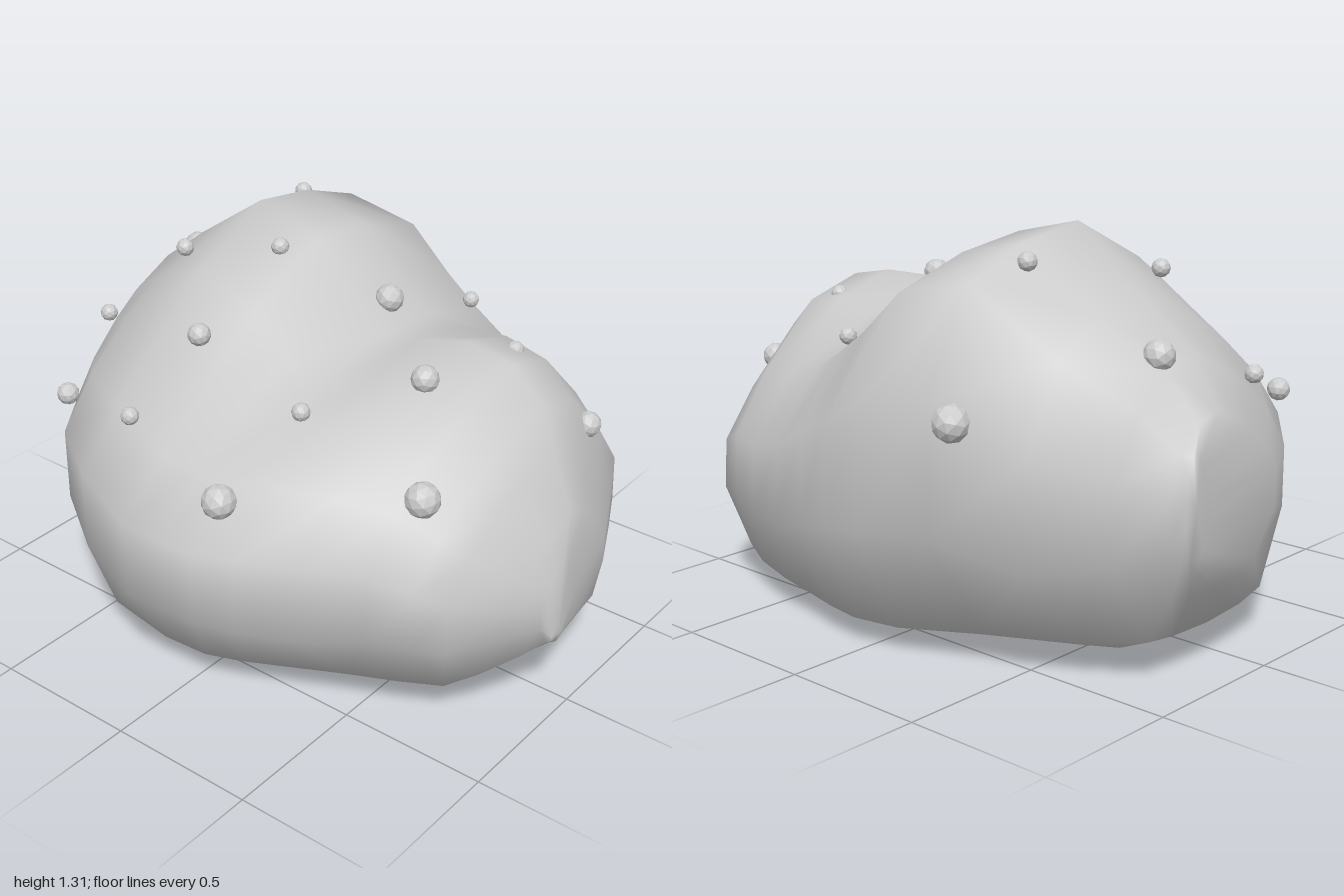
import * as THREE from 'three';

// Stations along x: [x, top, bottom, front z, back z, fullness of the front, fullness of the back]
const STATIONS = [
  [-1, 0.75, 0.42, -0.32, -0.41, 0.5, 0.5],
  [-0.95, 0.83, 0.29, 0.1, -0.44, 0.5, 0.6],
  [-0.84, 0.97, 0.12, 0.31, -0.54, 0.5, 0.8],
  [-0.66, 1.11, 0.02, 0.54, -0.71, 0.5, 0.9],
  [-0.37, 1.31, 0, 0.74, -0.81, 0.1, 1],
  [-0.11, 1.25, 0, 0.83, -0.84, 0.05, 1],
  [0.05, 1.09, 0.04, 0.84, -0.835, 0.6, 1],
  [0.17, 1.0, 0.05, 0.83, -0.82, 1, 1],
  [0.3, 1.02, 0.04, 0.79, -0.81, 1, 0.5],
  [0.48, 1.06, 0.03, 0.7, -0.75, 0.8, 0.1],
  [0.64, 1.03, 0.07, 0.6, -0.69, 0.7, 0.1],
  [0.76, 0.92, 0.11, 0.53, -0.64, 0.7, 0],
  [0.84, 0.84, 0.14, 0.47, -0.48, 0.7, 0],
  [0.93, 0.66, 0.22, 0.28, -0.29, 0.6, 0],
  [0.98, 0.55, 0.27, 0.17, -0.03, 0.6, 0],
  [1, 0.34, 0.29, 0.13, 0.07, 0.6, 0],
];

// Lower corners at each station: [front z, front y, back z, back y]
const FEET = [
  [-0.33, 0.45, -0.4, 0.45], [0, 0.33, -0.4, 0.32], [0.2, 0.16, -0.36, 0.14],
  [0.43, 0.12, -0.45, 0.11], [0.63, 0.12, -0.57, 0.1], [0.67, 0.12, -0.68, 0.085],
  [0.66, 0.12, -0.71, 0.085], [0.62, 0.125, -0.7, 0.09], [0.56, 0.13, -0.67, 0.09],
  [0.48, 0.14, -0.63, 0.09], [0.41, 0.145, -0.59, 0.1], [0.35, 0.15, -0.54, 0.12],
  [0.28, 0.19, -0.4, 0.17], [0.19, 0.25, -0.24, 0.24], [0.13, 0.29, -0.01, 0.29],
  [0.12, 0.3, 0.08, 0.3],
];

// Sides and top of a section, back > top > front: [u, v, v when full]
const SECTION = [
  [-1, 0.3, 0.35], [-0.98, 0.5, 0.66], [-0.77, 0.7, 0.9], [-0.45, 0.93, 0.97],
  [-0.14, 1, 1], [0.25, 0.88, 0.95], [0.5, 0.76, 0.9], [0.78, 0.62, 0.79],
  [1, 0.5, 0.62], [1, 0.3, 0.36],
];

// Pebbles: [x, y, z, radius]
const PEBBLES = [
  [-0.54, 1.16, 0.05, 0.03], [-0.195, 1.23, -0.03, 0.03], [-0.22, 1.05, 0.34, 0.038],
  [-0.84, 0.86, 0.13, 0.03], [-0.705, 0.73, 0.47, 0.038], [-0.295, 0.84, 0.59, 0.03],
  [0.1, 1.06, -0.23, 0.048], [0.22, 0.94, 0.375, 0.03], [0.48, 1.025, 0.1, 0.045],
  [0.18, 0.77, 0.71, 0.055], [0.68, 0.81, 0.38, 0.056], [-0.8, 0.98, -0.29, 0.05],
  [-0.44, 1.23, -0.45, 0.03], [0.78, 0.76, -0.385, 0.044], [0.18, 0.945, -0.59, 0.028],
  [0.55, 0.99, -0.29, 0.03], [-0.44, 0.81, -0.77, 0.058],
];

// One closed ring of [z, y] corners: underside from front to back, then up and over
function ring([, top, bottom, front, back, fullFront, fullBack], [fz, fy, bz, by]) {
  const { lerp } = THREE.MathUtils;
  const mid = (front + back) / 2, half = (front - back) / 2, keel = (fz + bz) / 2;
  const sides = SECTION.map(([u, v0, v1]) => [
    mid + u * half,
    lerp(bottom, top, lerp(v0, v1, u > 0 ? fullFront : fullBack)),
  ]);
  return [
    [fz, fy], [lerp(keel, fz, 0.6), lerp(bottom, fy, 0.3)], [keel, bottom],
    [lerp(keel, bz, 0.6), lerp(bottom, by, 0.3)], [bz, by], ...sides,
  ];
}

// Lofts the rings through the stations and closes both ends
function boulderGeometry() {
  const rings = STATIONS.map((station, i) => ring(station, FEET[i]));
  const n = rings[0].length, m = rings.length;
  const pos = [], index = [];
  rings.forEach((r, i) => r.forEach(([z, y]) => pos.push(STATIONS[i][0], y, z)));
  for (let i = 0; i < m - 1; i++) {
    for (let j = 0; j < n; j++) {
      const a = i * n + j, d = i * n + (j + 1) % n;
      index.push(a, d, a + n, d, d + n, a + n);
    }
  }
  for (const i of [0, m - 1]) {
    const [x, top, bottom, front, back] = STATIONS[i];
    const c = pos.length / 3;
    pos.push(x, (top + bottom) / 2, (front + back) / 2);
    for (let j = 0; j < n; j++) {
      const a = i * n + j, b = i * n + (j + 1) % n;
      if (i === 0) index.push(c, b, a);
      else index.push(c, a, b);
    }
  }
  const geo = new THREE.BufferGeometry();
  geo.setAttribute('position', new THREE.Float32BufferAttribute(pos, 3));
  geo.setIndex(index);
  geo.computeVertexNormals();
  return geo;
}

export function createModel() {
  const group = new THREE.Group();
  group.name = 'boulder';

  // Smooth two-humped body
  const body = new THREE.Mesh(boulderGeometry(), new THREE.MeshStandardMaterial({ color: 0xcccccc }));
  body.name = 'boulderBody';
  group.add(body);

  // Faceted pebbles half sunk into the surface
  const pebbleMaterial = new THREE.MeshStandardMaterial({ color: 0xcccccc, flatShading: true });
  const pebbleGeometry = new THREE.IcosahedronGeometry(1, 1);
  const pebbles = new THREE.Group();
  pebbles.name = 'pebbles';
  PEBBLES.forEach(([x, y, z, r], i) => {
    const pebble = new THREE.Mesh(pebbleGeometry, pebbleMaterial);
    pebble.name = `pebble${i + 1}`;
    pebble.position.set(x, y, z);
    pebble.scale.setScalar(r);
    pebble.rotation.set(i, i * 2, 0);
    pebbles.add(pebble);
  });
  group.add(pebbles);
  return group;
}
